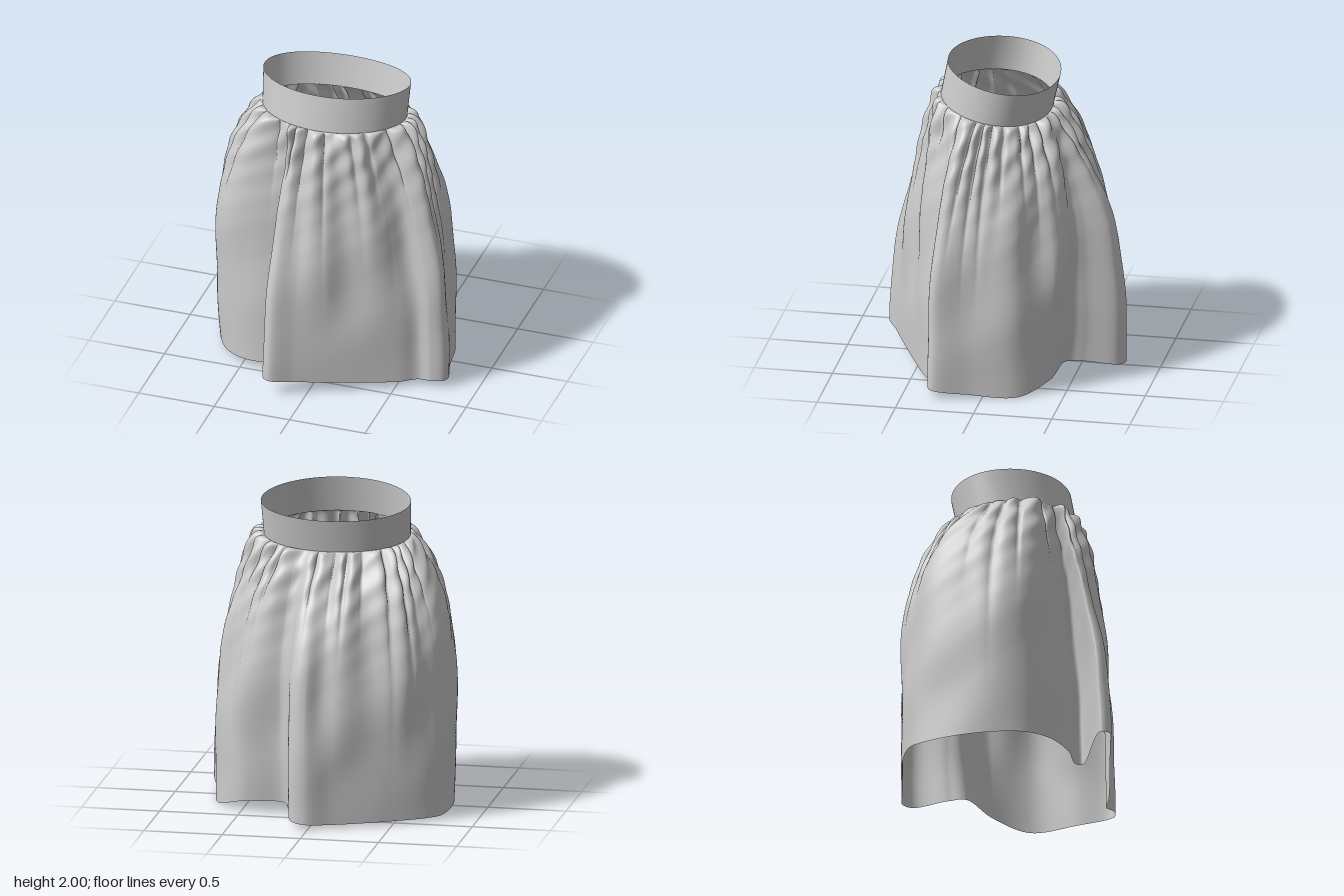
import * as THREE from 'three';

const TAU = Math.PI * 2;

// Hem outline, one row per fold point: x, z, y, flare sharpness, place on the waist (in turns from the front)
const HEM = [
  [-0.27, 0.73, 0.11, 1.8, -0.05],
  [-0.22, 0.775, 0.11, 1.9, -0.036],
  [-0.07, 0.70, 0.09, 2.2, -0.01],
  [0.12, 0.61, 0.07, 2.5, 0.025],
  [0.52, 0.41, 0.04, 2.7, 0.12],
  [0.63, 0.34, 0.04, 2.6, 0.15],
  [0.72, 0.35, 0.05, 2.5, 0.175],
  [0.80, 0.31, 0.05, 2.5, 0.2],
  [0.75, 0.08, 0.02, 3, 0.255],
  [0.68, -0.22, 0, 3.6, 0.325],
  [0.50, -0.39, 0.06, 3.6, 0.39],
  [0.22, -0.44, 0.08, 3.8, 0.44],
  [0.17, -0.54, 0.07, 3.5, 0.456],
  [0.11, -0.75, 0.04, 3, 0.478],
  [0.02, -0.785, 0.03, 3, 0.492],
  [-0.14, -0.71, 0.02, 3.3, 0.54],
  [-0.45, -0.57, 0.02, 3.8, 0.61],
  [-0.71, -0.41, 0.02, 4.5, 0.68],
  [-0.77, -0.33, 0.02, 5, 0.71],
  [-0.78, 0.03, 0.02, 5.5, 0.785],
  [-0.65, 0.35, 0.03, 5, 0.857],
  [-0.48, 0.46, 0.04, 4, 0.89],
  [-0.20, 0.47, 0.06, 3, 0.92],
  [0.02, 0.42, 0.07, 2.4, 0.932],
  [0.06, 0.45, 0.08, 2.2, 0.936],
];

// Closed, smooth-shaded tube of cloth: point(i, j) with columns wrapping and rows going down
function clothTube(name, cols, rows, point) {
  const pos = [], index = [];
  for (let j = 0; j <= rows; j++)
    for (let i = 0; i < cols; i++) pos.push(...point(i, j));
  for (let j = 0; j < rows; j++)
    for (let i = 0; i < cols; i++) {
      const n = (i + 1) % cols;
      const a = j * cols + i, b = j * cols + n, c = a + cols, d = b + cols;
      index.push(a, c, b, b, c, d);
    }
  const geo = new THREE.BufferGeometry();
  geo.setAttribute('position', new THREE.Float32BufferAttribute(pos, 3));
  geo.setIndex(index);
  geo.computeVertexNormals();
  const mat = new THREE.MeshStandardMaterial({ color: 0xcccccc, side: THREE.DoubleSide });
  const mesh = new THREE.Mesh(geo, mat);
  mesh.name = name;
  return mesh;
}

// Tilted waist outline; v = 0 at the top edge of the band, 1 at the gathered seam
function waist(turn, v) {
  const s = Math.sin(turn * TAU), c = Math.cos(turn * TAU);
  return [
    -0.033 + (0.475 - 0.01 * v) * s,
    1.945 - 0.22 * v + (0.055 - 0.01 * v) * c,
    0.005 + 0.045 * v + 0.35 * c - 0.03 * s * s,
  ];
}

// Irregular gathers: rounded ridges with narrow valleys, 0..1
function gather(w) {
  const phase = 13 * w + 1.3 * Math.sin(3 * w + 1) + 0.9 * Math.sin(7 * w + 2);
  const size = 0.75 + 0.25 * Math.sin(9 * w + 4 * Math.sin(2 * w));
  return size * Math.sqrt(Math.abs(Math.sin(phase)) + 0.02);
}

// Mid-height bulge: out at the back left and the right side, in beside the front fold
function bellyAt(turn) {
  const bump = (at, width) => Math.exp(-Math.pow((turn - at) / width, 2));
  return 0.075 * bump(0.42, 0.04) + 0.04 * bump(0.82, 0.04) - 0.03 * bump(0.922, 0.015);
}

function createBody() {
  const per = 24, cols = HEM.length * per, rows = 56;
  const hemCurve = new THREE.CatmullRomCurve3(
    HEM.map(([x, z, y]) => new THREE.Vector3(x, y, z)), true, 'centripetal');

  // Per-column data: hem point, flare, waist position and gather shape
  const columns = [];
  for (let i = 0; i < cols; i++) {
    const k = Math.floor(i / per), f = (i % per) / per;
    const p = HEM[k], q = HEM[(k + 1) % HEM.length];
    const qTurn = k === HEM.length - 1 ? q[4] + 1 : q[4];
    const turn = THREE.MathUtils.lerp(p[4], qTurn, f), w = turn * TAU;
    columns.push({
      hem: hemCurve.getPoint(i / cols),
      flare: THREE.MathUtils.lerp(p[3], q[3], f),
      belly: bellyAt(turn),
      seam: waist(turn, 1),
      out: [Math.sin(w), Math.cos(w)],
      ridge: gather(w),
      reach: 0.24 + 0.1 * Math.sin(5 * w + 0.7) + 0.06 * Math.sin(11 * w + 2),
      swell: Math.sin(11 * w + 1.5 * Math.sin(2 * w)),
      w,
    });
  }

  return clothTube('gatheredSkirtBody', cols, rows, (i, j) => {
    const { hem, flare, belly, seam, out, ridge, reach, swell, w } = columns[i];
    const t = Math.pow(j / rows, 1.8);
    const spread = 1 - Math.pow(1 - t, flare);
    // Pleats puff out at the seam and die out at differing depths, wandering a little on the way
    const start = 1 - Math.exp(-t * 110);
    const pleat = start * Math.exp(-Math.pow(t / reach, 2)) * (0.085 * ridge - 0.02);
    const crumple = 0.012 * start * Math.sin(17 * w + 60 * t) * Math.exp(-t * 7);
    // Broad soft folds through the hip, and faint slanting drag creases
    const fold = 0.018 * swell * Math.sin(Math.PI * Math.min(1, t * 1.25)) * start;
    const drag = 0.007 * Math.sin(5 * w + 14 * t) * Math.sin(Math.PI * t);
    const off = pleat + crumple + fold + drag + belly * Math.sin(Math.PI * t);
    // Cloth rises slightly over the seam
    const puff = 0.05 * ridge * start * Math.exp(-t * 35);
    return [
      seam[0] + (hem.x - seam[0]) * spread + out[0] * off,
      seam[1] + (hem.y - seam[1]) * t + puff,
      seam[2] + (hem.z - seam[2]) * spread + out[1] * off,
    ];
  });
}

export function createModel() {
  const group = new THREE.Group();
  group.name = 'skirt';
  const bandCols = 96, bandRows = 6;
  group.add(
    clothTube('waistband', bandCols, bandRows, (i, j) => waist(i / bandCols, j / bandRows)),
    createBody(),
  );
  return group;
}
